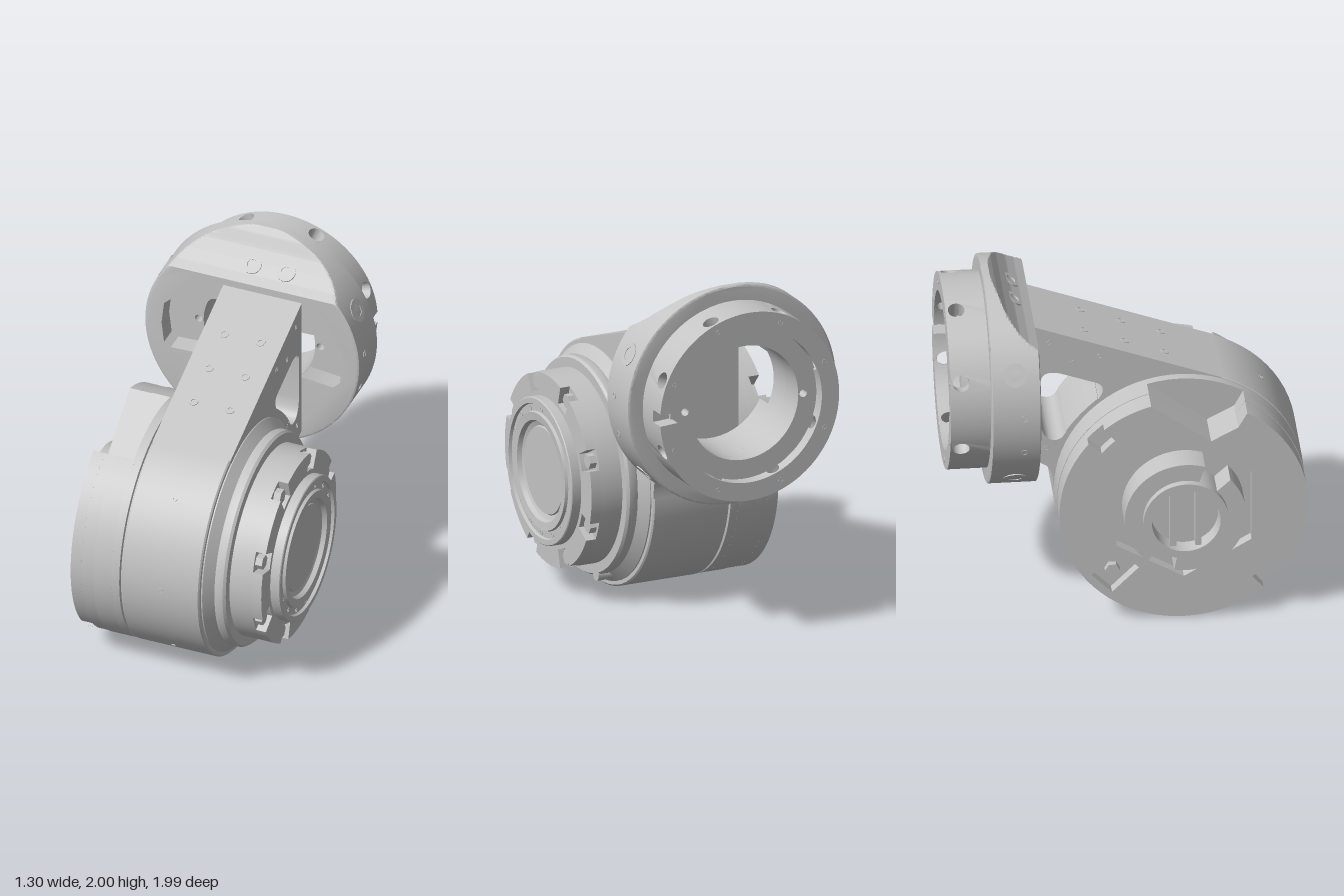
import * as THREE from 'three';
import { toCreasedNormals } from 'three/addons/utils/BufferGeometryUtils.js';

const metal = new THREE.MeshStandardMaterial({ color: 0xc4c4c4 });
metal.name = 'machined grey';

const DY = 0.69, DZ = 0.3; // drum axis
const HX = -0.015, HY = 1.37; // wrist ring axis
const TAU = Math.PI * 2;
const rad = THREE.MathUtils.degToRad;

export function createModel() {
  const model = new THREE.Group();
  model.name = 'robotJoint';

  const add = (name, geo) => {
    const mesh = new THREE.Mesh(toCreasedNormals(geo, 0.5), metal);
    mesh.name = name;
    model.add(mesh);
    return mesh;
  };
  const lathe = (pts, sides = 72) => new THREE.LatheGeometry(pts.map(([r, h]) => new THREE.Vector2(r, h)), sides);
  // Revolve about the drum axis; points are [radius, x]
  const drumLathe = (name, pts) => add(name, lathe(pts).rotateZ(-Math.PI / 2).translate(0, DY, DZ));
  const extrude = (shape, depth) => new THREE.ExtrudeGeometry(shape, { depth, curveSegments: 32, bevelEnabled: false });
  // Extrude from x0 to x1; shape is drawn in (-z, y) about the drum axis
  const drumExtrude = (name, shape, x0, x1) => add(name,
    extrude(shape, x1 - x0).rotateY(Math.PI / 2).translate(x0, DY, DZ));
  // Place a y-axis geometry at a point, facing along a normal
  const up = new THREE.Vector3(0, 1, 0);
  const place = (name, geo, p, n) => {
    const mesh = add(name, geo);
    mesh.position.set(...p);
    mesh.quaternion.setFromUnitVectors(up, new THREE.Vector3(...n).normalize());
  };
  // Low rim around a bolt hole, and a hexagonal screw head
  const rim = (name, p, n, r, h = 0.003) => place(name,
    lathe([[r * 0.55, -0.01], [r, -0.01], [r, h], [r * 0.55, h], [r * 0.55, -0.01]], 20), p, n);
  const screw = (name, p, n) => place(name, new THREE.CylinderGeometry(0.042, 0.042, 0.05, 6), p, n);
  const circleHole = (x, y, r) => new THREE.Path().absarc(x, y, r, 0, TAU, true);
  const arcBand = (r0, r1, a, b) => {
    const s = new THREE.Shape().absarc(0, 0, r1, a, b, false);
    s.absarc(0, 0, r0, b, a, true);
    s.closePath();
    return s;
  };

  // Main housing
  drumLathe('housing', [[0, -0.183], [0.685, -0.183], [0.69, -0.178], [0.69, 0.27], [0.682, 0.278], [0, 0.278]]);

  // Arm: top beam, end post and lower strut around a window, running into the housing
  const arm = new THREE.Shape();
  arm.moveTo(-0.236, 0.648);
  arm.lineTo(-0.2, 0.5);
  arm.lineTo(0.4, 0.5);
  arm.lineTo(0.445, 0.545);
  arm.quadraticCurveTo(0.385, 0.62, 0.45, 0.65);
  arm.lineTo(0.65, 0.722);
  arm.quadraticCurveTo(0.76, 0.75, 0.76, 0.67);
  arm.lineTo(0.76, 0.41);
  arm.quadraticCurveTo(0.75, 0.3, 0.68, 0.3);
  arm.quadraticCurveTo(0.64, 0.3, 0.615, 0.36);
  arm.lineTo(0.55, 0.3);
  arm.lineTo(0.6, 0);
  arm.lineTo(0.69, 0);
  arm.bezierCurveTo(0.69, 0.12, 0.72, 0.15, 0.8, 0.17);
  arm.lineTo(0.8, 1.027);
  arm.closePath();
  drumExtrude('arm', arm, -0.185, 0.28);
  // Fillet closing the lower left edge of the window
  const fillet = new THREE.Shape();
  fillet.moveTo(0.4, 0.5);
  fillet.lineTo(0.55, 0.3);
  fillet.lineTo(0.62, 0.355);
  fillet.quadraticCurveTo(0.55, 0.46, 0.445, 0.55);
  fillet.closePath();
  drumExtrude('armFillet', fillet, -0.184, 0.279);

  // Bolt holes on the arm slope, arm sides and housing rim
  for (const x of [-0.06, 0.155]) {
    for (const z of [-0.21, 0.015, 0.235]) {
      rim('armBoltHole', [x, 1.717 - 0.364 * (z + 0.5), z], [0, 0.94, 0.342], 0.026);
    }
  }
  for (const [z, y] of [[-0.135, 1.51], [-0.285, 1.475], [-0.415, 1.61], [-0.43, 0.94]]) {
    rim('armSideHole', [0.28, y, z], [1, 0, 0], 0.016);
    rim('armSideHole', [-0.185, y, z], [-1, 0, 0], 0.016);
  }
  for (const y of [1.185, 0.7, 0.21]) {
    const a = Math.asin((y - DY) / 0.69);
    rim('rimHole', [0.05, y, DZ + 0.69 * Math.cos(a)], [0, Math.sin(a), Math.cos(a)], 0.016);
  }

  // Stepped output flange on the +x side
  drumLathe('outputFlange', [[0, 0.2], [0.66, 0.2], [0.66, 0.285], [0.605, 0.335], [0.61, 0.345],
    [0.61, 0.385], [0.6, 0.4], [0.545, 0.4], [0.545, 0.53], [0.44, 0.53], [0.415, 0.55], [0.415, 0.64],
    [0.41, 0.645], [0.38, 0.645], [0.375, 0.628], [0.335, 0.628], [0.33, 0.645], [0.285, 0.64],
    [0.275, 0.615], [0.25, 0.605], [0.245, 0.615], [0, 0.615]]);
  const crown = new THREE.Shape();
  for (let i = 0; i < 8; i++) {
    const a = (i + 0.5) * TAU / 8;
    crown.absarc(0, 0, 0.44, a - 0.11, a + 0.11, false);
    crown.absarc(0, 0, 0.545, a + 0.11, a + TAU / 8 - 0.11, false);
  }
  crown.holes.push(circleHole(0, 0, 0.405));
  drumExtrude('outputCrown', crown, 0.53, 0.588);
  for (let i = 0; i < 8; i++) {
    const a = (i + 0.5) * TAU / 8;
    screw('crownScrew', [0.545, DY + 0.49 * Math.sin(a), DZ + 0.49 * Math.cos(a)], [1, 0, 0]);
  }
  for (let i = 0; i < 16; i++) {
    const a = i * TAU / 16;
    rim('flangeHole', [0.628, DY + 0.356 * Math.sin(a), DZ + 0.356 * Math.cos(a)], [1, 0, 0], 0.014);
  }
  place('drainPlug', new THREE.CylinderGeometry(0.036, 0.036, 0.12, 20), [0.34, 0.12, 0.09], [1, 0, 0]);

  // Rear cover on the -x side: disc with a slanted slot at the top and small rim notches
  const slotted = (R, notches) => {
    const s = new THREE.Shape();
    let from = Math.acos(-0.35 / R);
    for (const a of notches) {
      s.absarc(0, 0, R, from, a - 0.09, false);
      s.absarc(0, 0, 0.59, a - 0.09, a + 0.09, false);
      from = a + 0.09;
    }
    s.absarc(0, 0, R, from, TAU + Math.acos(0.18 / R), false);
    s.lineTo(-0.15, 0.42);
    s.lineTo(-0.3, 0.5);
    s.closePath();
    return s;
  };
  drumLathe('coverBase', [[0, -0.245], [0.688, -0.245], [0.688, -0.195], [0.675, -0.19], [0.675, -0.17], [0, -0.17]]);
  drumExtrude('coverMiddle', slotted(0.688, []), -0.35, -0.24);
  drumExtrude('coverUpper', slotted(0.685, []), -0.42, -0.35);
  const face = slotted(0.685, [rad(225), rad(405)]);
  face.holes.push(new THREE.Path([0, 1, 2, 3, 4, 5].map((i) => {
    const a = -(i + 0.5) * TAU / 6;
    return new THREE.Vector2(0.43 * Math.cos(a), 0.43 * Math.sin(a));
  })));
  // Radial pocket running down from the central recess
  face.holes.push(new THREE.Path([[0.43, 0.08], [0.64, 0.08], [0.64, -0.08], [0.43, -0.08]].map(([r, w]) =>
    new THREE.Vector2(r, w).rotateAround(new THREE.Vector2(), rad(-45)))));
  drumExtrude('coverFace', face, -0.484, -0.42);
  screw('coverScrew', [-0.43, DY - 0.39, DZ - 0.39], [-1, 0, 0]);

  // Connector cup with an interrupted collar and two crossbars
  for (const [a, b] of [[-0.9, 1.9], [2.4, 4.9]]) {
    drumExtrude('connectorCollar', arcBand(0.23, 0.335, a, b), -0.582, -0.42);
  }
  drumLathe('connectorCup', [[0, -0.53], [0.185, -0.53], [0.19, -0.622], [0.235, -0.622], [0.235, -0.41], [0, -0.41]]);
  for (const z of [-0.07, 0.07]) {
    add('connectorBar', new THREE.BoxGeometry(0.07, 0.34, 0.035).translate(-0.56, DY, DZ + z));
  }

  // Wrist ring: plate whose top is scooped away towards the front
  const scoop = [[-0.77, 2], [-0.73, 2], [-0.7, 1.965], [-0.66, 1.9], [-0.6, 1.83], [-0.55, 1.79], [-0.5, 1.76]];
  const topAt = (z) => {
    for (let i = 1; i < scoop.length; i++) {
      const [z0, y0] = scoop[i - 1], [z1, y1] = scoop[i];
      if (z <= z1 + 1e-6) return y0 + (y1 - y0) * Math.max(0, (z - z0) / (z1 - z0));
    }
    return 1.76;
  };
  const wristLayer = (name, holes, z0, z1, steps) => {
    const s = new THREE.Shape().absarc(0, 0, 0.633, 0, TAU, false);
    s.holes.push(...holes);
    const g = new THREE.ExtrudeGeometry(s, { depth: z1 - z0, steps, curveSegments: 90, bevelEnabled: false });
    g.translate(0, 0, z0);
    const p = g.attributes.position;
    for (let i = 0; i < p.count; i++) {
      const x = p.getX(i), y = p.getY(i), z = p.getZ(i);
      const k = Math.hypot(x, y) > 0.6 && (z > -0.503 || z < -0.767) ? 0.985 : 1;
      p.setXY(i, x * k + HX, Math.min(y * k + HY, topAt(z)));
    }
    add(name, g);
  };
  // Front opening: round bore joined to a pocket on each side
  const pocket = new THREE.Path();
  for (const t of [0, Math.PI]) {
    const c = Math.cos(t);
    for (const [x, y] of [[0.3, -0.15], [0.48, -0.17], [0.52, -0.13], [0.535, 0], [0.52, 0.13], [0.48, 0.155], [0.3, 0.15]]) {
      if (t === 0 && x === 0.3 && y < 0) pocket.moveTo(x, y);
      else pocket.lineTo(x * c, y * c);
    }
    pocket.absarc(0, 0, 0.335, t + 0.4636, t + Math.PI - 0.4636, false);
  }
  const boreHoles = () => [circleHole(0, 0, 0.33), circleHole(0.36, 0, 0.022), circleHole(-0.36, 0, 0.022)];
  wristLayer('wristFront', [pocket], -0.61, -0.5, 22);
  wristLayer('wristPlate', boreHoles(), -0.77, -0.61, 32);

  // Mounting collar behind the wrist ring: curved bands between panels with radial holes
  const R0 = 0.44, R1 = 0.545;
  const collarBand = (a, b, z0) => add('collarBand',
    extrude(arcBand(R0, R1, a, b), -0.765 - z0).translate(HX, HY, z0));
  const half = 0.13;
  for (let i = 0; i < 8; i++) {
    const a = (i + 0.5) * TAU / 8, next = a + TAU / 8 - half, mid = a + TAU / 16;
    if (i === 7) {
      // Key notch on one side
      collarBand(a + half, mid - 0.065, -0.99);
      collarBand(mid - 0.065, mid + 0.065, -0.9);
      collarBand(mid + 0.065, next, -0.99);
    } else collarBand(a + half, next, -0.99);

    // Flat panel with a hole, bent around the ring axis
    const w = half * R1;
    const panel = new THREE.Shape();
    panel.moveTo(-w, -0.1125);
    for (let k = -3; k <= 4; k++) panel.lineTo(w * k / 4, -0.1125);
    for (let k = 4; k >= -4; k--) panel.lineTo(w * k / 4, 0.1125);
    panel.closePath();
    panel.holes.push(circleHole(0, -0.052, 0.046));
    const g = extrude(panel, R1 - R0);
    const p = g.attributes.position;
    for (let k = 0; k < p.count; k++) {
      const t = a + p.getX(k) / R1, r = R0 + p.getZ(k);
      p.setXYZ(k, HX + r * Math.cos(t), HY + r * Math.sin(t), p.getY(k) - 0.8775);
    }
    add('collarHolePanel', g);
    rim('collarBackHole', [HX + 0.495 * Math.cos(a), HY + 0.495 * Math.sin(a), -0.99], [0, 0, -1], 0.016, 0.002);
  }
  const ledge = new THREE.Shape().absarc(0, 0, 0.45, 0, TAU, false);
  ledge.holes.push(...boreHoles());
  add('collarLedge', extrude(ledge, 0.155).translate(HX, HY, -0.92));

  // Bosses around the wrist ring and in the scoop
  for (const flip of [false, true]) {
    for (const [angle, z, r] of [[0.46, -0.64, 0.066], [-0.76, -0.63, 0.066], [0.06, -0.59, 0.022], [-0.31, -0.59, 0.022]]) {
      const a = flip ? Math.PI - angle : angle;
      const c = Math.cos(a), s = Math.sin(a);
      rim('wristHole', [HX + 0.633 * c, HY + 0.633 * s, z], [c, s, 0], r);
    }
  }
  for (const x of [-0.05, 0.15]) rim('scoopHole', [x, 1.827, -0.595], [0, 0.8, 0.6], 0.054, 0.006);

  return model;
}
